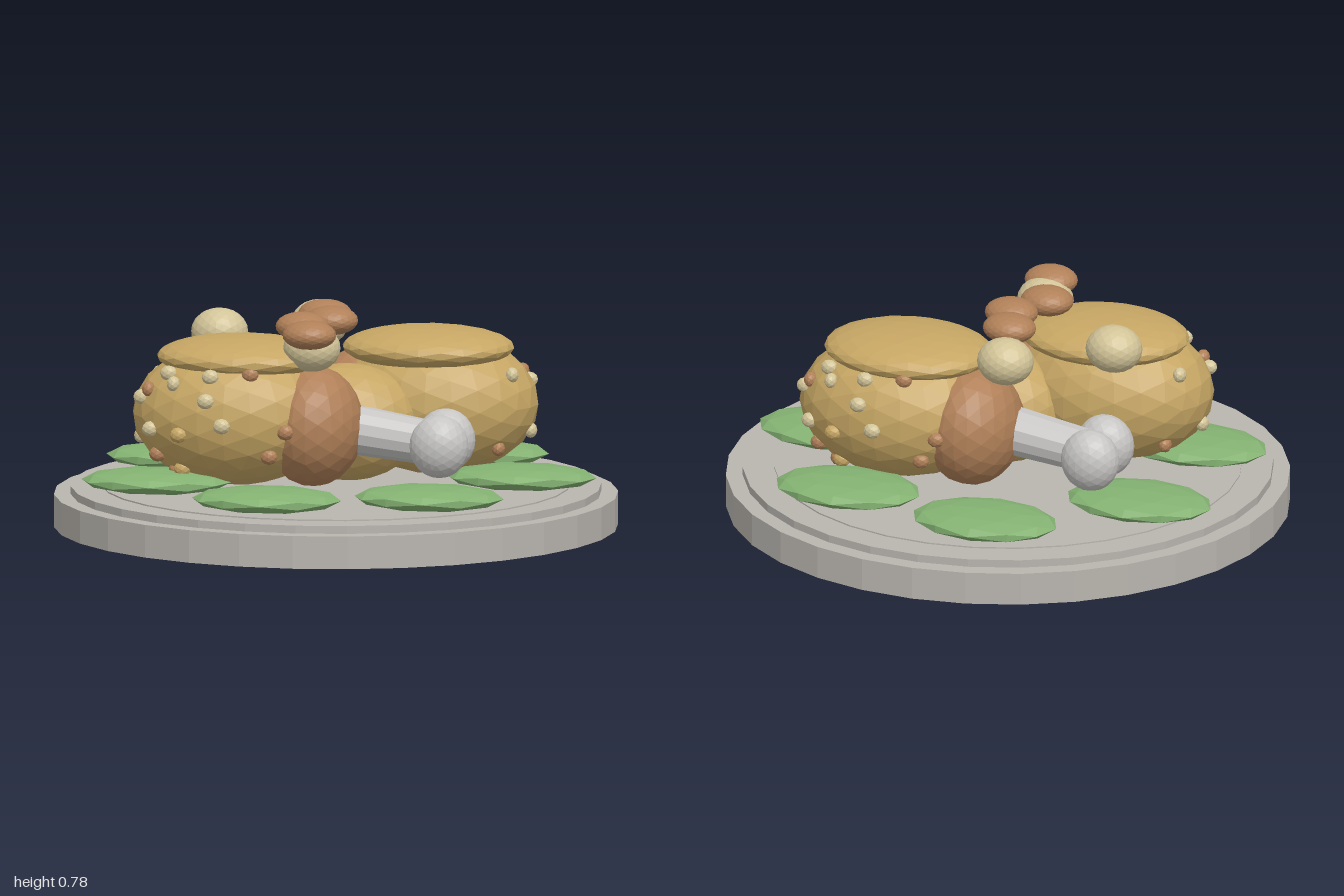
import * as THREE from 'three';

const paint = (name, color) => {
  const m = new THREE.MeshStandardMaterial({ color, flatShading: true });
  m.name = name;
  return m;
};

export function createModel() {
  const root = new THREE.Group();
  root.name = 'roastPlatter';

  const stone = paint('platter grey', 0xb9b5af);
  const green = paint('leaf green', 0x84b272);
  const roast = paint('roast gold', 0xc6a664);
  const brown = paint('roast brown', 0xb08058);
  const cream = paint('cream', 0xd2c498);
  const bone = paint('bone grey', 0xc6c5c3);

  // Faceted ellipsoid given centre and radii
  const blob = (parent, name, mat, pos, radii, detail = 3) => {
    const mesh = new THREE.Mesh(new THREE.IcosahedronGeometry(1, detail), mat);
    mesh.name = name;
    mesh.position.set(...pos);
    mesh.scale.set(...radii);
    parent.add(mesh);
    return mesh;
  };

  // Stepped round platter
  [['platterBase', 1, 0, 0.117], ['platterRim', 0.94, 0.117, 0.145], ['platterInset', 0.83, 0.145, 0.15]]
    .forEach(([name, r, y0, y1]) => {
      const mesh = new THREE.Mesh(new THREE.CylinderGeometry(r, r, y1 - y0, 32), stone);
      mesh.name = name;
      mesh.position.y = (y0 + y1) / 2;
      root.add(mesh);
    });

  // Ring of seven leaves
  for (let i = 0; i < 7; i++) {
    const a = (i / 7) * Math.PI * 2;
    blob(root, 'leaf', green, [Math.cos(a) * 0.665, 0.19, Math.sin(a) * 0.665], [0.268, 0.044, 0.182], 1);
  }

  // Herb and spice bits on the roast: x, y and material, set on the outer face
  const C = [-0.335, 0.42, 0.2], R = [0.365, 0.255, 0.278];
  const bits = [
    [-0.65, 0.49, cream], [-0.55, 0.58, cream], [-0.39, 0.58, cream], [-0.40, 0.50, cream],
    [-0.34, 0.415, cream], [-0.61, 0.385, cream], [-0.50, 0.375, roast], [-0.50, 0.24, roast],
    [-0.18, 0.30, brown], [-0.12, 0.39, brown], [-0.59, 0.29, brown], [-0.25, 0.59, brown],
  ];
  // Bits on the outer end: z, y and material
  const endBits = [
    [0.33, 0.52, brown], [0.39, 0.55, cream], [0.18, 0.33, cream],
    [0.06, 0.28, brown], [0.31, 0.23, brown], [0.09, 0.54, cream],
  ];
  const cap = (u, v) => Math.sqrt(Math.max(0, 1 - u * u - v * v));

  // One roast with its thigh and drumstick
  const makeRoast = (name) => {
    const g = new THREE.Group();
    g.name = name;
    blob(g, 'body', roast, C, R);
    blob(g, 'crust', roast, [-0.31, 0.622, 0.175], [0.307, 0.076, 0.245]);
    blob(g, 'thigh', brown, [-0.05, 0.385, 0.225], [0.18, 0.215, 0.21]);

    // Drumstick shaft sloping down to two knuckles
    const from = new THREE.Vector3(0, 0.385, 0.195), to = new THREE.Vector3(0.4, 0.325, 0.195);
    const dir = to.clone().sub(from);
    const shaft = new THREE.Mesh(new THREE.CylinderGeometry(0.078, 0.092, dir.length(), 14), bone);
    shaft.name = 'drumstickBone';
    shaft.position.copy(from).add(to).multiplyScalar(0.5);
    shaft.quaternion.setFromUnitVectors(new THREE.Vector3(0, 1, 0), dir.normalize());
    g.add(shaft);
    [0.275, 0.12].forEach((z) => blob(g, 'knuckle', bone, [0.408, 0.33, z], [0.106, 0.113, 0.086]));

    bits.forEach(([x, y, m]) => {
      const z = C[2] + R[2] * cap((x - C[0]) / R[0], (y - C[1]) / R[1]);
      blob(g, 'seasoning', m, [x, y, z], [0.031, 0.028, 0.024], 1);
    });
    endBits.forEach(([z, y, m]) => {
      const x = C[0] - R[0] * cap((z - C[2]) / R[2], (y - C[1]) / R[1]);
      blob(g, 'seasoning', m, [x, y, z], [0.024, 0.028, 0.029], 1);
    });
    root.add(g);
    return g;
  };

  // The second roast is the first turned half round
  makeRoast('frontRoast').position.z = -0.025;
  const rear = makeRoast('rearRoast');
  rear.rotation.y = Math.PI;
  rear.position.set(-0.01, -0.006, -0.025);

  // Stuffing between the two roasts
  blob(root, 'stuffing', roast, [0.04, 0.37, -0.01], [0.265, 0.21, 0.2]);

  // Round onions on top
  [[-0.43, 0.67, -0.085], [-0.11, 0.67, -0.33], [-0.045, 0.675, 0.265]]
    .forEach((p) => blob(root, 'onion', cream, p, [0.102, 0.085, 0.092], 3));

  // Row of brown garnish pieces
  [[-0.065, -0.165], [-0.02, -0.02], [-0.1, 0.13], [-0.045, 0.325]]
    .forEach(([x, z]) => blob(root, 'garnish', brown, [x, 0.73, z], [0.096, 0.052, 0.082], 3));

  return root;
}
